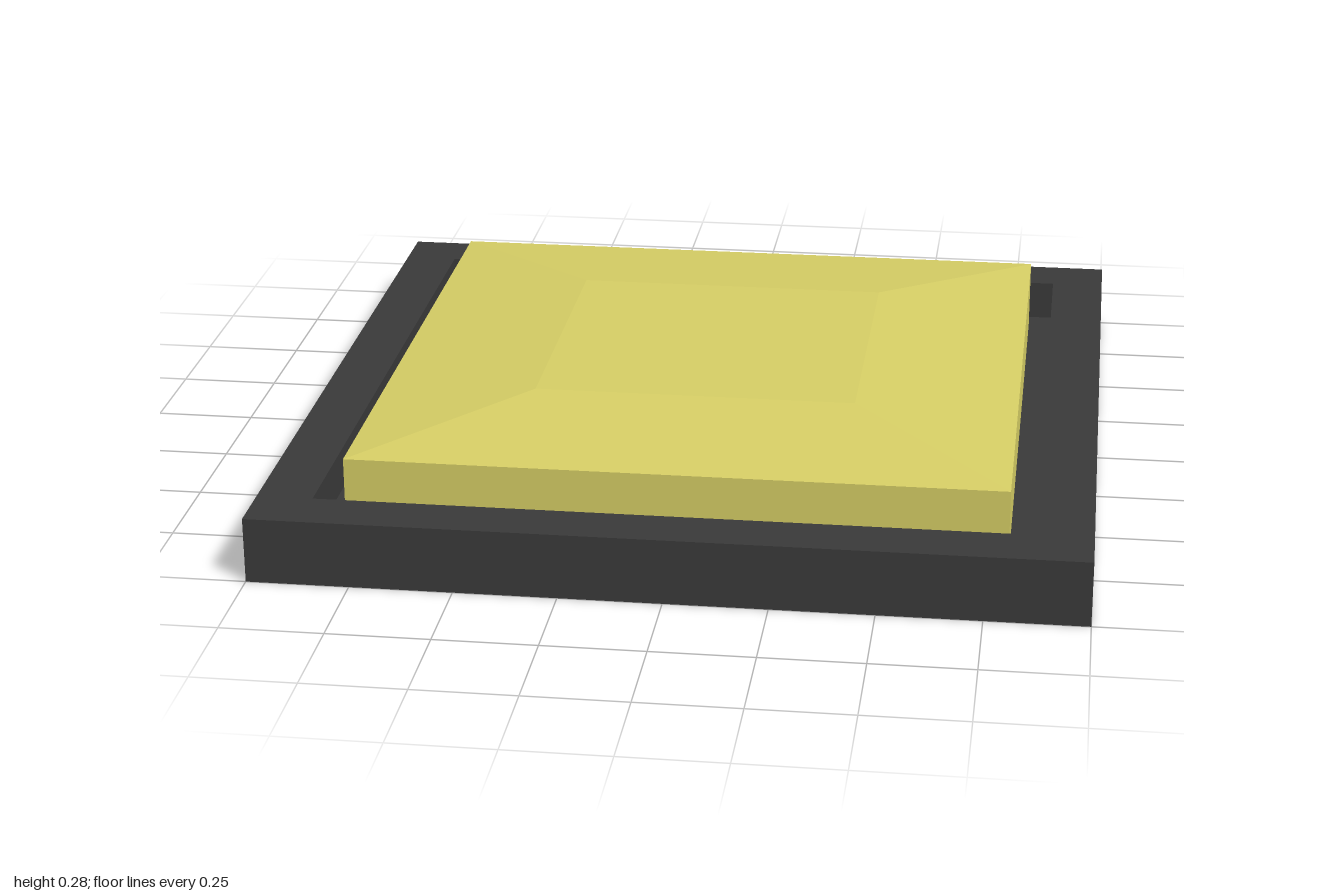
import * as THREE from 'three';

// Square solid from a profile of [half width, height] points, bottom to top.
function squareTurned(name, profile, color) {
  const points = profile.map(([half, y]) => new THREE.Vector2(half * Math.SQRT2, y));
  const geometry = new THREE.LatheGeometry(points, 4, Math.PI / 4).toNonIndexed();
  geometry.computeVertexNormals();
  const mesh = new THREE.Mesh(geometry, new THREE.MeshStandardMaterial({ color, flatShading: true }));
  mesh.name = name;
  return mesh;
}

export function createModel() {
  const group = new THREE.Group();
  group.name = 'floorButton';

  // Dark tray: flat underside, raised rim and sunken floor
  group.add(squareTurned('baseTray', [
    [0, 0], [1, 0], [1, 0.163], [0.863, 0.163], [0.863, 0.06], [0, 0.06],
  ], 0x3a3a3a));

  // Yellow pad with a shallow bevelled top, standing in the tray
  group.add(squareTurned('pressurePad', [
    [0.8, 0.06], [0.8, 0.242], [0.4, 0.285], [0, 0.285],
  ], 0xd6ce65));

  return group;
}
